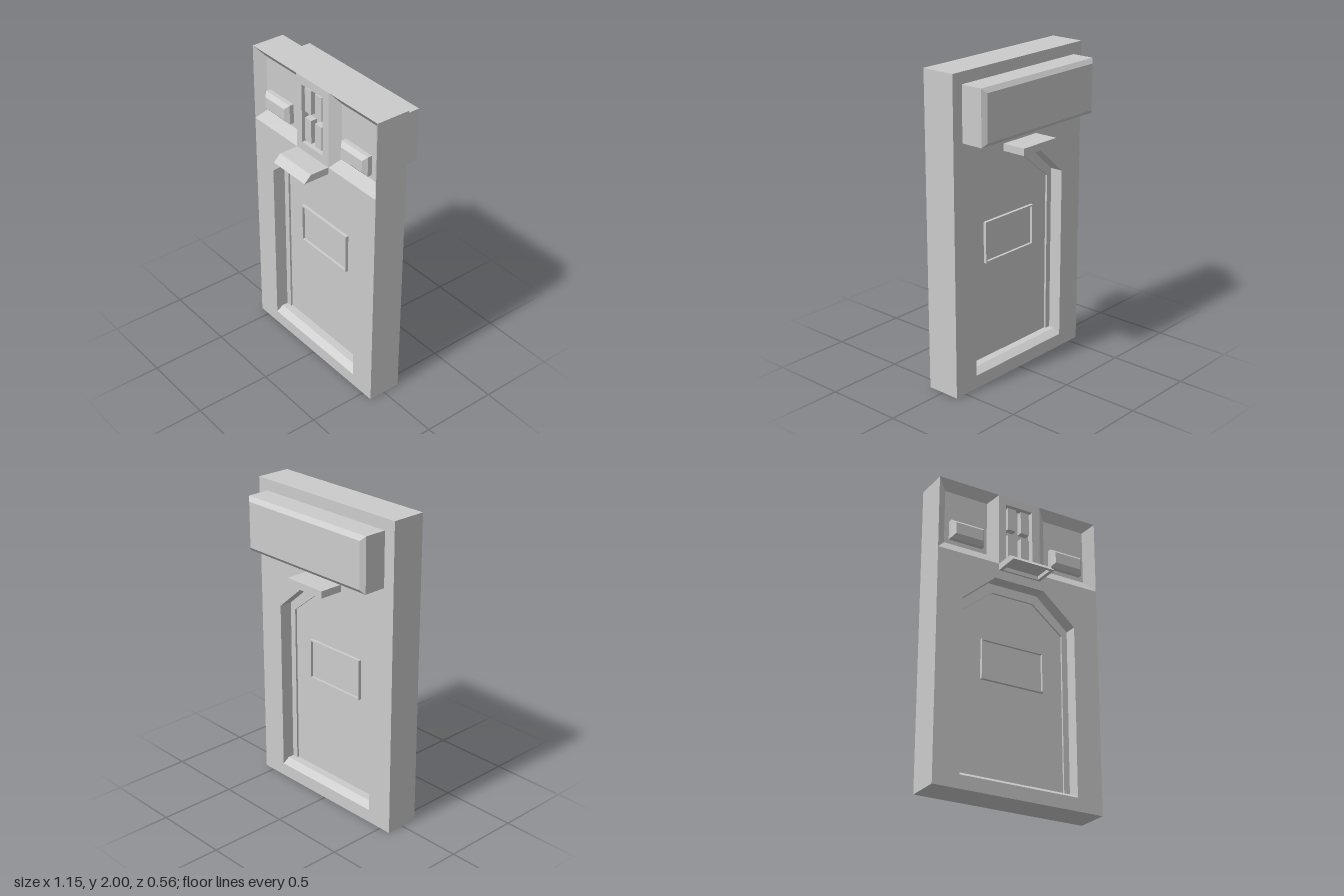
import * as THREE from 'three';

const grey = new THREE.MeshStandardMaterial({ color: 0xcccccc, flatShading: true });
const BACK = -0.115, FRONT = 0.108, FLOOR = 0.058; // wall faces and pocket floor

function mesh(name, geometry) {
  const m = new THREE.Mesh(geometry, grey);
  m.name = name;
  return m;
}

const toShape = pts => new THREE.Shape(pts.map(p => new THREE.Vector2(...p)));

// Flat plate between two depths, with optional holes
function plate(name, pts, holes, z0, z1) {
  const shape = toShape(pts);
  shape.holes = holes.map(toShape);
  const g = new THREE.ExtrudeGeometry(shape, { depth: z1 - z0, bevelEnabled: false });
  return mesh(name, g.translate(0, 0, z0));
}

// Solid lofted through rectangles [x0, x1, y0, y1, z], capped at both ends
function loft(name, rects) {
  const pos = [];
  const rings = rects.map(([x0, x1, y0, y1, z]) => [[x0, y0, z], [x1, y0, z], [x1, y1, z], [x0, y1, z]]);
  const quad = (a, b, c, d) => pos.push(...a, ...b, ...c, ...a, ...c, ...d);
  for (let r = 0; r < rings.length - 1; r++) {
    for (let i = 0; i < 4; i++) {
      const j = (i + 1) % 4;
      quad(rings[r][i], rings[r][j], rings[r + 1][j], rings[r + 1][i]);
    }
  }
  quad(...rings[rings.length - 1]);
  quad(...[...rings[0]].reverse());
  const g = new THREE.BufferGeometry();
  g.setAttribute('position', new THREE.Float32BufferAttribute(pos, 3));
  g.computeVertexNormals();
  return mesh(name, g);
}

// Arched outline with clipped upper corners
const arch = (w, y0, y1, topW, y2) => [[-w, y0], [w, y0], [w, y1], [topW, y2], [-topW, y2], [-w, y1]];

export function createModel() {
  const group = new THREE.Group();
  const opening = arch(0.4, 0.085, 1.205, 0.175, 1.4);
  const doorway = arch(0.36, 0.1, 1.168, 0.145, 1.34);

  // Wall: full back layer, and a front layer cut away for the two upper pockets
  group.add(plate('wall', [[-0.575, 0], [0.575, 0], [0.575, 2], [-0.575, 2]], [opening], BACK, FLOOR));
  group.add(plate('wallFront',
    [[-0.575, 0], [0.575, 0], [0.575, 1.505], [0.15, 1.505], [0.15, 2], [-0.15, 2], [-0.15, 1.505], [-0.575, 1.505]],
    [opening, [[-0.1, 1.56], [0.095, 1.56], [0.095, 1.945], [-0.1, 1.945]]], FLOOR, FRONT));

  // Sloped pockets with a bevelled pad in each
  for (const s of [-1, 1]) {
    const rect = (a, b, y0, y1, z) => [Math.min(s * a, s * b), Math.max(s * a, s * b), y0, y1, z];
    group.add(loft('pocket', [
      rect(0.15, 0.575, 1.505, 2, FLOOR),
      rect(0.15, 0.575, 1.505, 2, FRONT),
      rect(0.21, 0.51, 1.575, 1.94, FLOOR + 0.0005),
    ]));
    group.add(loft('pad', [
      rect(0.245, 0.478, 1.603, 1.73, FLOOR),
      rect(0.245, 0.478, 1.603, 1.73, 0.088),
      rect(0.268, 0.455, 1.63, 1.705, 0.113),
    ]));
  }

  // Four blocks in the central recess
  for (const [x0, x1] of [[-0.08, -0.022], [0.015, 0.075]]) {
    for (const [y0, y1] of [[1.58, 1.735], [1.775, 1.93]]) {
      group.add(loft('indicatorBlock', [[x0, x1, y0, y1, FLOOR], [x0, x1, y0, y1, 0.1]]));
    }
  }

  // Door frame, door and sloped sill
  group.add(plate('doorFrame', opening, [doorway], -0.03, 0.023));
  group.add(plate('door', doorway, [], -0.017, 0.01));
  const sill = plate('sill', [[BACK, 0.08], [FRONT, 0.08], [FRONT, 0.085], [0.062, 0.115], [-0.069, 0.115], [BACK, 0.085]],
    [], -0.4, 0.4);
  sill.rotation.y = -Math.PI / 2;
  group.add(sill);

  // Raised window frame with a sunken pane, on both faces of the door
  for (const side of [1, -1]) {
    const z = side > 0 ? 0.005 : 0.012;
    const win = loft('window', [
      [-0.219, 0.219, 0.747, 1.012, z],
      [-0.219, 0.219, 0.747, 1.012, z + 0.025],
      [-0.209, 0.209, 0.757, 1.002, z + 0.025],
      [-0.209, 0.209, 0.757, 1.002, z + 0.008],
    ]);
    if (side < 0) win.rotation.y = Math.PI;
    group.add(win);
  }

  // Lamp hoods over the door, hollow underneath; the front one has a slanted nose
  const hood = (name, z0, z1, topZ1) => {
    const m = loft(name, [
      [-0.148, 0.148, z0, topZ1, -1.505],
      [-0.148, 0.148, z0, z1, -1.46],
      [-0.125, 0.125, z0 + 0.022, z1 - 0.022, -1.46],
      [-0.125, 0.125, z0 + 0.022, z1 - 0.045, -1.485],
    ]);
    m.rotation.x = Math.PI / 2;
    group.add(m);
  };
  hood('frontHood', 0.1, 0.282, 0.235);
  hood('backHood', -0.272, -0.105, -0.105);

  // Bevelled housing on the back
  const housing = loft('backHousing', [
    [-0.5, 0.5, 1.585, 1.928, 0.11],
    [-0.5, 0.5, 1.585, 1.928, 0.26],
    [-0.472, 0.472, 1.61, 1.9, 0.282],
  ]);
  housing.rotation.y = Math.PI;
  group.add(housing);

  return group;
}
